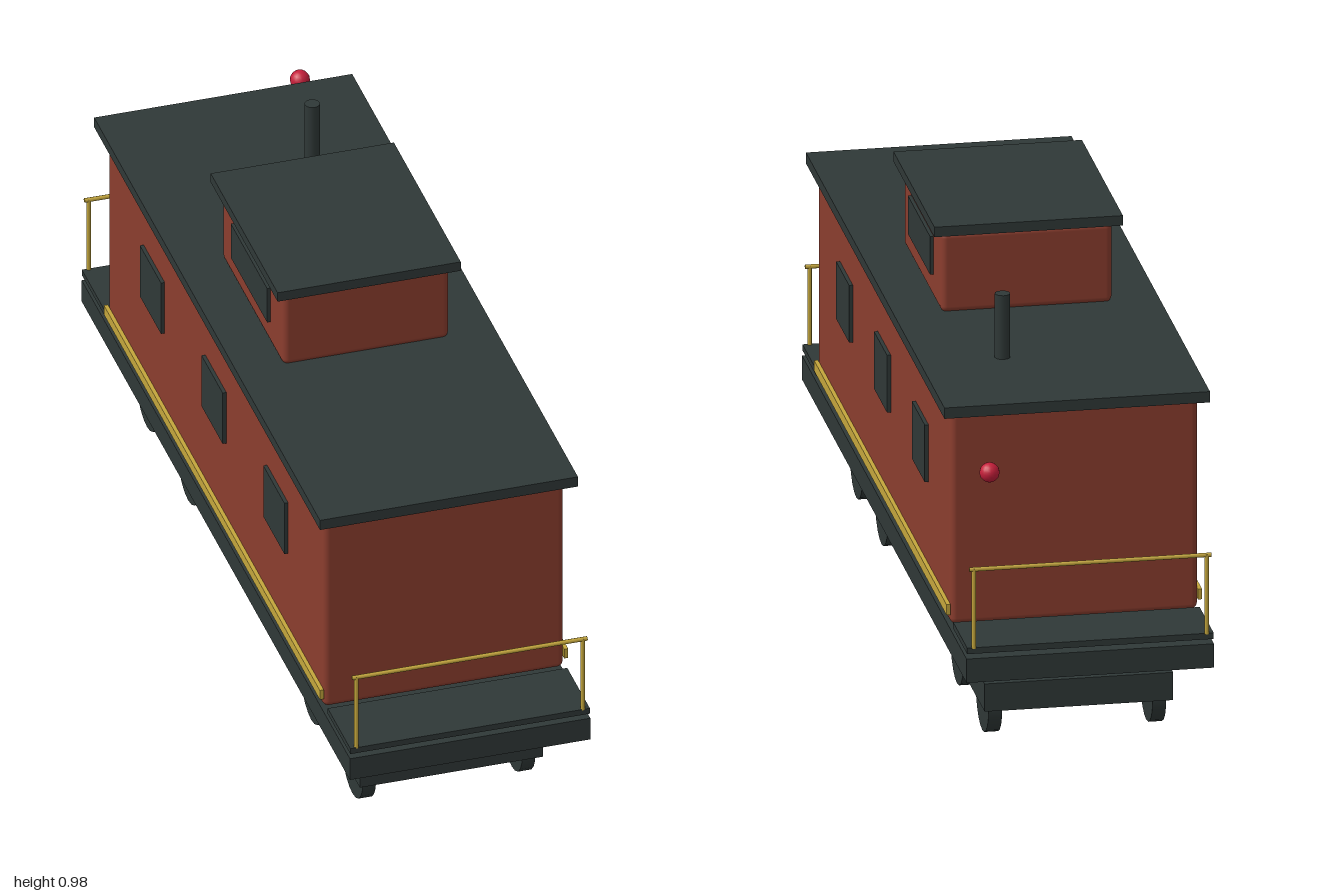
import * as THREE from 'three';
import { RoundedBoxGeometry } from 'three/addons/geometries/RoundedBoxGeometry.js';

const material = (name, color) => {
  const m = new THREE.MeshStandardMaterial({ color });
  m.name = name;
  return m;
};

export function createModel() {
  const red = material('caboose red', 0x8b3d2e);
  const dark = material('dark iron', 0x2f3837);
  const gold = material('brass', 0xc4a63c);
  const lamp = material('lamp red', 0xc41e3a);

  const model = new THREE.Group();
  model.name = 'caboose';

  const add = (name, geometry, mat, x, y, z, parent = model) => {
    const mesh = new THREE.Mesh(geometry, mat);
    mesh.name = name;
    mesh.position.set(x, y, z);
    parent.add(mesh);
    return mesh;
  };
  // Box given by its width and its y and z ranges
  const slab = (name, mat, x, w, y0, y1, z0, z1, parent) =>
    add(name, new THREE.BoxGeometry(w, y1 - y0, z1 - z0), mat, x, (y0 + y1) / 2, (z0 + z1) / 2, parent);
  const roundedSlab = (name, mat, w, y0, y1, z0, z1) =>
    add(name, new RoundedBoxGeometry(w, y1 - y0, z1 - z0, 3, 0.014), mat, 0, (y0 + y1) / 2, (z0 + z1) / 2);

  // Underframe, body and roofs
  slab('deck', dark, 0, 0.546, 0.195, 0.25, -0.98, 1.0);
  roundedSlab('body', red, 0.546, 0.26, 0.75, -0.787, 0.807);
  slab('roof', dark, 0, 0.586, 0.75, 0.775, -0.823, 0.844);
  roundedSlab('cupola', red, 0.378, 0.772, 0.957, -0.217, 0.234);
  slab('cupolaRoof', dark, 0, 0.416, 0.957, 0.98, -0.239, 0.255);

  // Windows and trim stripe on both sides
  for (const side of [-1, 1]) {
    for (const z of [0.466, 0.01, -0.445])
      slab('window', dark, side * 0.277, 0.009, 0.497, 0.629, z - 0.078, z + 0.078);
    slab('cupolaWindow', dark, side * 0.1925, 0.009, 0.83, 0.918, -0.126, 0.142);
    slab('trimStripe', gold, side * 0.2775, 0.009, 0.284, 0.308, -0.787, 0.807);
  }

  // End platforms with railings
  const ends = [
    { z0: 0.833, z1: 1.0, rail: 0.996 },
    { z0: -0.982, z1: -0.813, rail: -0.98 },
  ];
  for (const { z0, z1, rail } of ends) {
    slab('platform', dark, 0, 0.544, 0.262, 0.276, z0, z1);
    const railing = new THREE.Group();
    railing.name = 'railing';
    model.add(railing);
    for (const x of [-0.257, 0.257])
      add('railPost', new THREE.CylinderGeometry(0.005, 0.005, 0.184, 8), gold, x, 0.366, rail, railing);
    const bar = add('handRail', new THREE.CylinderGeometry(0.005, 0.005, 0.534, 8), gold, 0, 0.456, rail, railing);
    bar.rotation.z = Math.PI / 2;
  }

  // Trucks, each with four wheels
  const wheelGeometry = new THREE.CylinderGeometry(0.0775, 0.0775, 0.03, 20).rotateZ(Math.PI / 2);
  for (const z of [0.616, -0.597]) {
    const truck = new THREE.Group();
    truck.name = 'truck';
    model.add(truck);
    slab('truckFrame', dark, 0, 0.416, 0.076, 0.14, z - 0.246, z + 0.246, truck);
    for (const dz of [-0.152, 0.152])
      for (const x of [-0.181, 0.181])
        add('wheel', wheelGeometry, dark, x, 0.0775, z + dz, truck);
  }

  // Stove pipe and tail lamp
  add('stovePipe', new THREE.CylinderGeometry(0.017, 0.017, 0.15, 12), dark, 0.11, 0.847, -0.523);
  add('tailLamp', new THREE.SphereGeometry(0.022, 16, 12), lamp, 0.222, 0.677, -0.978);

  return model;
}
